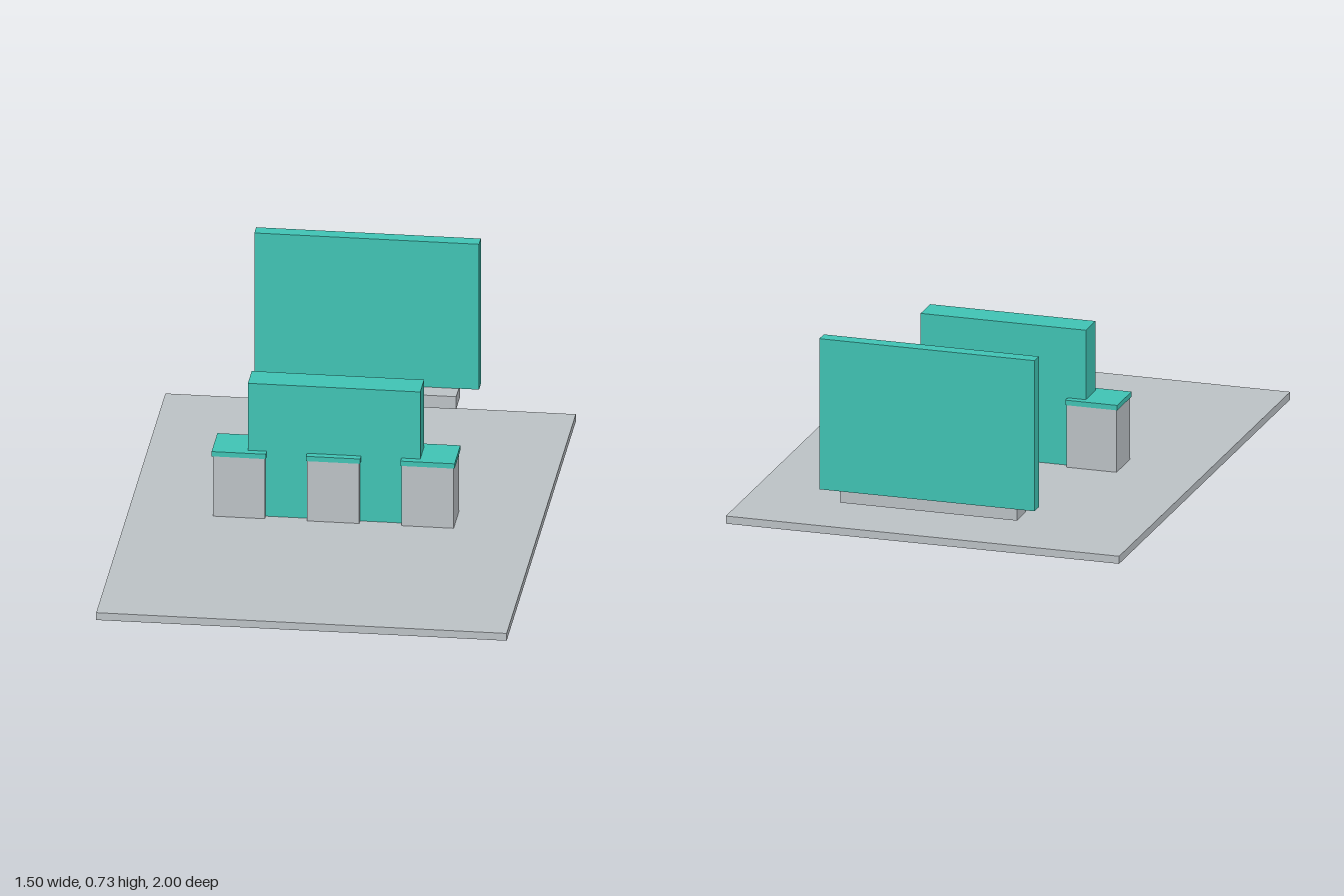
import * as THREE from 'three';

export function createModel() {
  const model = new THREE.Group();
  const teal = new THREE.MeshStandardMaterial({ name: 'teal', color: 0x40c4b5 });
  const grey = new THREE.MeshStandardMaterial({ name: 'light grey', color: 0xbdc3c7 });

  // Box given by its lower and upper limits on each axis
  function box(name, material, [x0, x1], [y0, y1], [z0, z1], parent = model) {
    const mesh = new THREE.Mesh(new THREE.BoxGeometry(x1 - x0, y1 - y0, z1 - z0), material);
    mesh.name = name;
    mesh.position.set((x0 + x1) / 2, (y0 + y1) / 2, (z0 + z1) / 2);
    parent.add(mesh);
  }

  // Floor slab, lifted a hair so the counter's foot shows underneath
  box('floor', grey, [-0.75, 0.75], [0.001, 0.03], [-1, 1]);

  // Central counter wall running through the floor
  box('counterWall', teal, [-0.315, 0.315], [0, 0.552], [-0.056, 0.056]);

  // Three capped pedestals along the wall
  const names = ['rightPedestal', 'middlePedestal', 'leftPedestal'];
  [-0.345, 0, 0.345].forEach((x, i) => {
    const pedestal = new THREE.Group();
    pedestal.name = names[i];
    pedestal.position.x = x;
    box('pedestalBody', grey, [-0.095, 0.095], [0.03, 0.268], [-0.08, 0.08], pedestal);
    box('pedestalCap', teal, [-0.099, 0.099], [0.268, 0.287], [-0.084, 0.084], pedestal);
    model.add(pedestal);
  });

  // Back panel with the ledge under its front
  box('backPanel', teal, [-0.412, 0.409], [0.152, 0.727], [-0.952, -0.9]);
  box('backLedge', grey, [-0.339, 0.335], [0.103, 0.152], [-0.934, -0.826]);

  return model;
}
